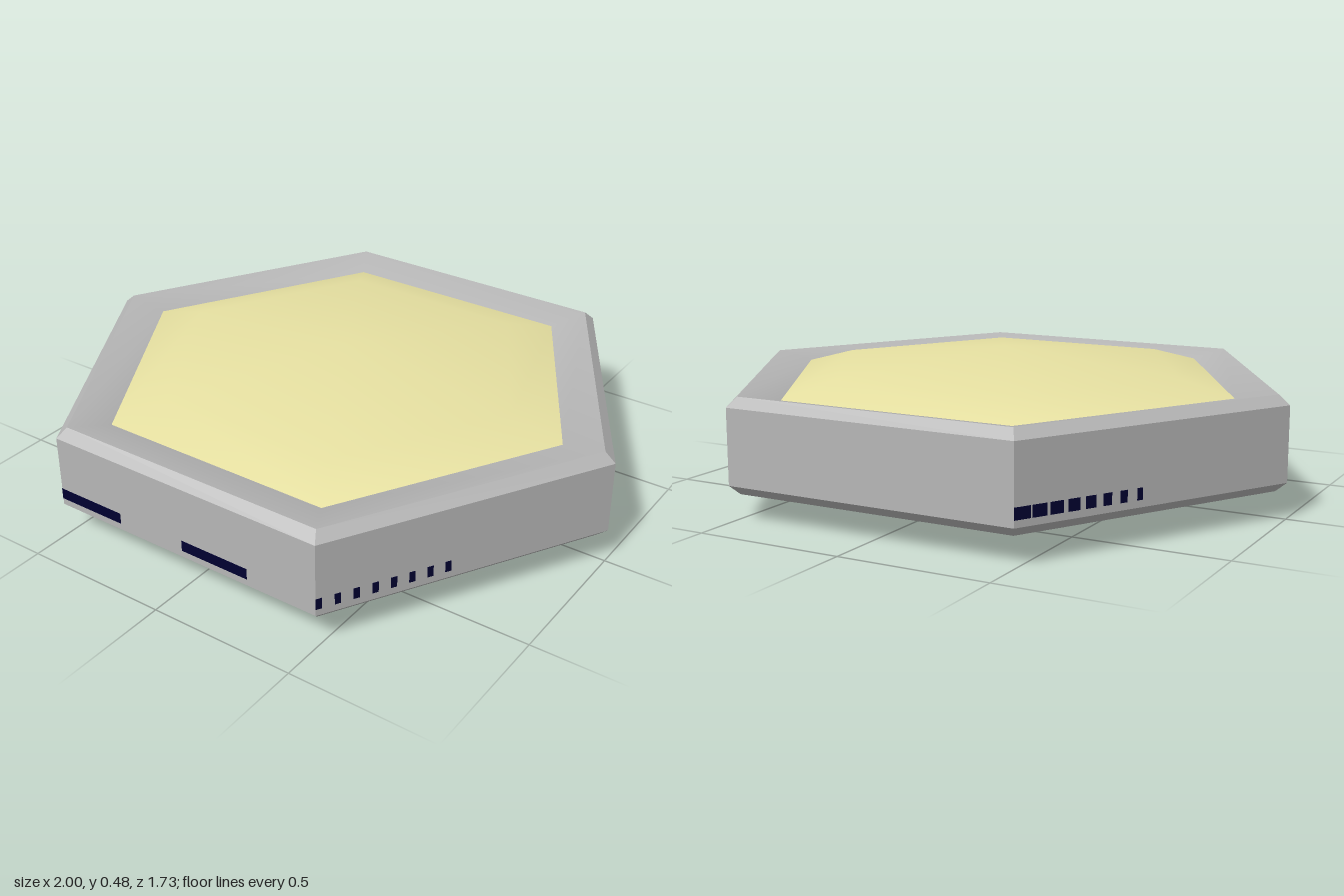
import * as THREE from 'three';
import { mergeVertices } from 'three/addons/utils/BufferGeometryUtils.js';

const MID = 0.242; // height of the mirror plane

const material = (name, color) => {
  const m = new THREE.MeshStandardMaterial({ color });
  m.name = name;
  return m;
};

// Mirror a profile below the middle, keeping its outward side
const mirrored = (profile) => profile.map(([r, y]) => [r, -y]).reverse();

// Six-sided lathe with corners on the x axis; heights are relative to MID
function hexLathe(profile, smooth) {
  const points = profile.map(([r, y]) => new THREE.Vector2(r, y + MID));
  let geometry = new THREE.LatheGeometry(points, 6, Math.PI / 2);
  if (smooth) {
    geometry.deleteAttribute('uv');
    geometry.deleteAttribute('normal');
    geometry = mergeVertices(geometry, 1e-4);
  } else {
    geometry = geometry.toNonIndexed();
  }
  geometry.computeVertexNormals();
  return geometry;
}

export function createModel() {
  const group = new THREE.Group();
  const grey = material('grey', 0xb6b6b6);
  const cream = material('cream', 0xeae4a4);
  const plum = material('plum', 0x9a6698);
  const navy = material('navy', 0x000030);

  const add = (name, geometry, mat) => {
    const mesh = new THREE.Mesh(geometry, mat);
    mesh.name = name;
    group.add(mesh);
  };

  // Hexagonal frame: sharp bevelled outside, softly dished toward the opening
  const bevel = [[1, 0.123], [0.963, 0.154]];
  const dish = [[0.963, 0.154], [0.82, 0.128], [0.8, 0.1]];
  add('frame', hexLathe([...mirrored(bevel), ...bevel], false), grey);
  add('topDish', hexLathe(dish, true), grey);
  add('bottomDish', hexLathe(mirrored(dish), true), grey);

  // Shallow domes above and below
  const dome = [[0.825, 0.127], [0.635, 0.178], [0, 0.24]];
  add('topDome', hexLathe(dome, true), cream);
  add('bottomDome', hexLathe(mirrored(dome), true), plum);

  // Thin painted dashes: side angle, then start and end along that side (-0.5 to 0.5)
  const dash = (angle, from, to) => {
    const pivot = new THREE.Group();
    pivot.name = 'sideMark';
    pivot.rotation.y = angle;
    const plate = new THREE.Mesh(new THREE.BoxGeometry(to - from, 0.037, 0.004), navy);
    plate.name = 'markPlate';
    plate.position.set((from + to) / 2, 0.16, Math.sqrt(3) / 2 - 0.001);
    pivot.add(plate);
    group.add(pivot);
  };
  const side = Math.PI / 3;
  dash(0, -0.5, -0.25);
  dash(0, 0, 0.25);
  dash(-side, 0.28, 0.5);

  // Broken marks that thin out along the right and back sides
  for (let i = 0; i < 18; i++) {
    const start = -0.45 + i * 0.052;
    dash(2 * side, start, start + 0.015 + i * 0.0015);
  }
  for (let i = 0; i < 8; i++) {
    const start = -0.5 + i * 0.06;
    dash(side, start, start + 0.02);
    dash(-2 * side, start, start + 0.055 - i * 0.005);
  }
  return group;
}
